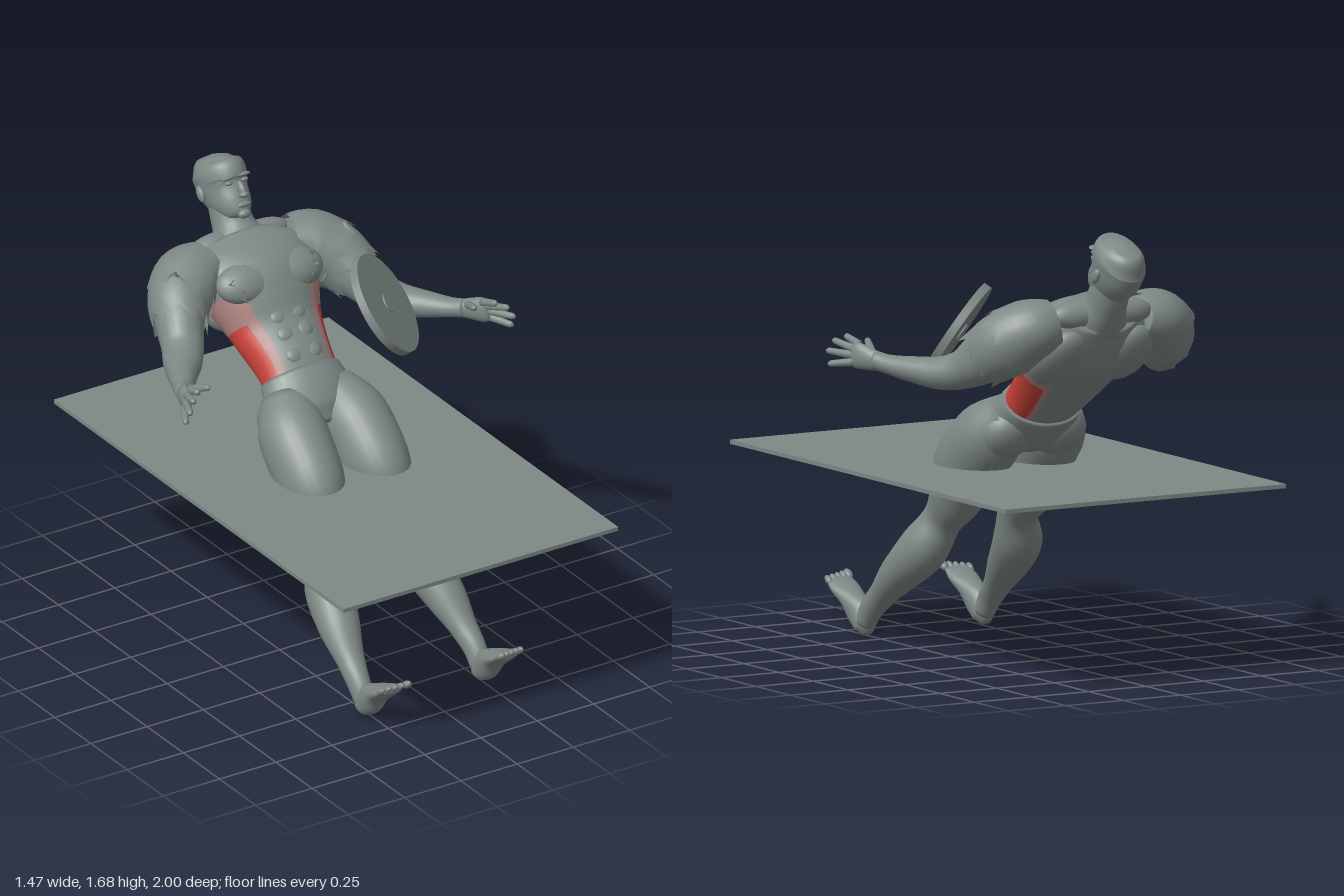
import * as THREE from 'three';

const V = (x, y, z) => new THREE.Vector3(x, y, z);
const grey = new THREE.MeshStandardMaterial({ color: 0x7d8885, side: THREE.DoubleSide });
grey.name = 'grey';
const rose = new THREE.MeshStandardMaterial({ color: 0xa87f7a });
rose.name = 'pale red';
const red = new THREE.MeshStandardMaterial({ color: 0xc8423a });
red.name = 'red';
const palette = [grey, rose, red];

// Smooth tube of elliptical sections [x, y, z, halfWidth, halfDepth].
// Width lies along ref, paint(t, cos, sin) picks a palette index, jag tears the end edge.
function loft(sections, { ref = V(1, 0, 0), sides = 24, per = 5, paint = null, jag = 0 } = {}) {
  const path = new THREE.CatmullRomCurve3(sections.map(s => V(s[0], s[1], s[2])));
  const size = new THREE.CatmullRomCurve3(sections.map(s => V(s[3], s[4], 0)));
  const rings = (sections.length - 1) * per;
  const pos = [], faces = [[], [], []];
  for (let i = 0; i <= rings; i++) {
    const c = path.getPoint(i / rings), r = size.getPoint(i / rings), t = path.getTangent(i / rings);
    const b = V().crossVectors(t, ref).normalize(), a = V().crossVectors(b, t);
    for (let j = 0; j < sides; j++) {
      const q = j / sides * Math.PI * 2;
      const p = c.clone().addScaledVector(a, Math.cos(q) * r.x).addScaledVector(b, Math.sin(q) * r.y);
      if (jag && i === rings) p.addScaledVector(t, jag * ((j * 5 % 7) / 3 - 1));
      pos.push(p.x, p.y, p.z);
    }
  }
  const k = (i, j) => i * sides + j % sides;
  for (let i = 0; i < rings; i++) for (let j = 0; j < sides; j++) {
    const q = (j + 0.5) / sides * Math.PI * 2;
    const m = paint ? paint((i + 0.5) / rings, Math.cos(q), Math.sin(q)) : 0;
    faces[m].push(k(i, j), k(i, j + 1), k(i + 1, j), k(i, j + 1), k(i + 1, j + 1), k(i + 1, j));
  }
  if (!jag) {
    const n = pos.length / 3, e = sections[sections.length - 1];
    pos.push(...sections[0].slice(0, 3), ...e.slice(0, 3));
    for (let j = 0; j < sides; j++)
      faces[0].push(n, k(0, j + 1), k(0, j), n + 1, k(rings, j), k(rings, j + 1));
  }
  const g = new THREE.BufferGeometry();
  g.setAttribute('position', new THREE.Float32BufferAttribute(pos, 3));
  g.setIndex(faces.flat());
  let start = 0;
  faces.forEach((f, m) => { if (f.length) g.addGroup(start, f.length, m); start += f.length; });
  g.computeVertexNormals();
  return g;
}

function add(parent, name, geometry, material = grey) {
  const mesh = new THREE.Mesh(geometry, material);
  mesh.name = name;
  parent.add(mesh);
  return mesh;
}

// Ellipsoid muscle or feature, tilted about x
function blob(parent, name, p, r, tilt = 0) {
  const m = add(parent, name, new THREE.SphereGeometry(1, 20, 14));
  m.position.set(...p);
  m.scale.set(...r);
  m.rotation.x = tilt;
  return m;
}

export function createModel() {
  const model = new THREE.Group();
  const lean = -0.82, Y = V(0, 1, 0);
  let seed = 7;
  const rnd = () => (seed = (seed * 16807) % 2147483647) / 2147483647;

  // Board through the thighs
  add(model, 'board', new THREE.BoxGeometry(1.22, 0.016, 2)).position.set(0, 0.726, 0);

  // Tilted disc with a raised hub
  const disc = new THREE.Group();
  disc.name = 'disc';
  add(disc, 'discPlate', new THREE.CylinderGeometry(0.203, 0.203, 0.032, 64));
  add(disc, 'discHub', new THREE.CylinderGeometry(0.038, 0.038, 0.044, 32));
  disc.position.set(0.29, 1.27, -0.115);
  disc.quaternion.setFromUnitVectors(Y, V(0.62, 0.55, 0.55).normalize());
  model.add(disc);

  // Torso with red flanks
  add(model, 'torso', loft([
    [0, 0.985, -0.235, 0.155, 0.1], [0, 1.04, -0.3, 0.16, 0.117], [0, 1.13, -0.41, 0.19, 0.125],
    [0, 1.215, -0.49, 0.23, 0.15], [0, 1.285, -0.55, 0.26, 0.155],
    [0, 1.345, -0.62, 0.25, 0.125], [0, 1.39, -0.67, 0.15, 0.095]
  ], {
    sides: 48, per: 6,
    paint: (t, c, s) => {
      c = Math.abs(c);
      if (t > 0.56 || c < 0.56) return 0;
      return t < 0.37 && c > 0.74 && s > -0.6 ? 2 : 1;
    }
  }), palette);
  add(model, 'pelvis', loft([
    [0, 0.84, -0.1, 0.09, 0.07], [0, 0.89, -0.15, 0.16, 0.11],
    [0, 0.95, -0.2, 0.178, 0.115], [0, 1.0, -0.252, 0.166, 0.112]
  ], { sides: 32 }));
  add(model, 'neck', loft([
    [0, 1.36, -0.65, 0.13, 0.1], [0, 1.43, -0.71, 0.08, 0.082], [0, 1.53, -0.765, 0.07, 0.078]
  ]));

  // Head, tipped back
  const head = new THREE.Group();
  head.name = 'head';
  head.position.set(0, 1.573, -0.78);
  head.rotation.x = -0.447;
  model.add(head);
  add(head, 'skull', loft([
    [0, -0.135, 0.075, 0.02, 0.025], [0, -0.122, 0.07, 0.046, 0.048], [0, -0.09, 0.05, 0.067, 0.073],
    [0, -0.04, 0.01, 0.082, 0.112], [0, 0, -0.008, 0.09, 0.128], [0, 0.04, -0.012, 0.094, 0.13],
    [0, 0.08, -0.02, 0.078, 0.106], [0, 0.102, -0.02, 0.05, 0.07], [0, 0.113, -0.02, 0.003, 0.003]
  ], { sides: 32 }));
  blob(head, 'nose', [0, -0.028, 0.128], [0.014, 0.034, 0.02], -0.3);
  blob(head, 'noseTip', [0, -0.05, 0.135], [0.019, 0.013, 0.022]);
  blob(head, 'lips', [0, -0.087, 0.12], [0.028, 0.011, 0.012]);
  blob(head, 'chin', [0, -0.122, 0.105], [0.026, 0.018, 0.02]);

  for (const s of [1, -1]) {
    const side = s > 0 ? 'left' : 'right';
    const sweep = (name, list, opts) =>
      add(model, side + name, loft(list.map(([x, ...rest]) => [x * s, ...rest]), opts));
    const bump = (name, [x, y, z], r, tilt = lean) => blob(model, side + name, [x * s, y, z], r, tilt);

    // Face details
    blob(head, side + 'Eye', [0.035 * s, 0.002, 0.105], [0.016, 0.008, 0.012]);
    blob(head, side + 'Brow', [0.036 * s, 0.022, 0.106], [0.028, 0.008, 0.016]);
    blob(head, side + 'Ear', [0.093 * s, -0.02, -0.02], [0.013, 0.033, 0.02], -0.2);

    // Torso muscles
    bump('Pectoral', [0.105, 1.325, -0.46], [0.125, 0.085, 0.062]);
    bump('Trapezius', [0.1, 1.385, -0.67], [0.12, 0.05, 0.055]);
    bump('BackMuscle', [0.14, 1.22, -0.6], [0.11, 0.15, 0.075]);
    bump('Glute', [0.115, 0.87, -0.165], [0.11, 0.12, 0.09]);
    for (const [y, z] of [[1.215, -0.34], [1.165, -0.285], [1.105, -0.225]])
      bump('Abdominal', [0.04, y, z], [0.037, 0.034, 0.018]);

    // Ragged shreds on the chest
    for (let i = 0; i < 14; i++) {
      const m = add(model, side + 'ChestShred', new THREE.ConeGeometry(0.009, 0.045, 3));
      const d = rnd() * 0.08;
      m.position.set(s * (0.08 + rnd() * 0.12), 1.29 + d, -0.385 - d * 0.75);
      m.rotation.set(rnd() * 3, rnd() * 3, rnd() * 3);
    }

    // Leg
    sweep('Leg', [
      [0.1, 0.95, -0.2, 0.09, 0.09], [0.135, 0.85, -0.08, 0.132, 0.138], [0.145, 0.725, 0.045, 0.128, 0.145],
      [0.155, 0.6, 0.125, 0.094, 0.115], [0.165, 0.5, 0.205, 0.074, 0.08], [0.205, 0.39, 0.27, 0.092, 0.095],
      [0.235, 0.28, 0.39, 0.08, 0.075], [0.25, 0.19, 0.49, 0.054, 0.052],
      [0.258, 0.125, 0.56, 0.043, 0.048], [0.258, 0.07, 0.6, 0.04, 0.04]
    ], { sides: 28 });
    bump('Kneecap', [0.165, 0.545, 0.235], [0.045, 0.05, 0.03]);

    // Foot and toes
    sweep('Foot', [
      [0.258, 0.025, 0.592, 0.02, 0.018], [0.258, 0.055, 0.605, 0.042, 0.045], [0.258, 0.1, 0.645, 0.046, 0.056],
      [0.258, 0.145, 0.695, 0.053, 0.038], [0.258, 0.178, 0.75, 0.062, 0.026], [0.258, 0.207, 0.795, 0.056, 0.014]
    ]);
    for (let i = 0; i < 5; i++)
      bump('Toe', [0.208 + i * 0.025, 0.219 - i * 0.003, 0.812 - i * 0.006],
        i ? [0.012, 0.013, 0.024] : [0.016, 0.015, 0.026], -0.6);

    // Arm
    const upper = [
      [0.18, 1.35, -0.62, 0.08, 0.09], [0.27, 1.33, -0.6, 0.1, 0.11],
      [0.34, 1.28, -0.55, 0.112, 0.108], [0.39, 1.22, -0.47, 0.1, 0.092]
    ];
    sweep('Arm', [...upper,
      [0.43, 1.17, -0.39, 0.075, 0.08], [0.475, 1.15, -0.32, 0.064, 0.074], [0.54, 1.155, -0.22, 0.05, 0.055],
      [0.6, 1.168, -0.12, 0.036, 0.04], [0.625, 1.178, -0.075, 0.036, 0.034]
    ], { ref: Y });

    // Torn layers over the upper arm
    const swell = (list, k) => list.map(([x, y, z, w, d]) => [x, y, z, w * k, d * k]);
    sweep('TornSleeve', swell(upper, 1.13), { ref: Y, sides: 35, jag: 0.03 });
    sweep('TornShoulder', swell(upper.slice(0, 3), 1.2), { ref: Y, sides: 28, jag: 0.035 });

    // Hand with spread fingers
    sweep('Palm', [
      [0.605, 1.17, -0.11, 0.03, 0.03], [0.635, 1.18, -0.06, 0.042, 0.028],
      [0.66, 1.19, -0.01, 0.05, 0.024], [0.672, 1.195, 0.015, 0.04, 0.014]
    ], { ref: Y });
    const fingers = [
      [[0.65, 1.23, 0], [0.662, 1.255, 0.08]], [[0.665, 1.212, 0.005], [0.7, 1.238, 0.108]],
      [[0.672, 1.19, 0.005], [0.722, 1.198, 0.118]], [[0.672, 1.165, 0], [0.728, 1.15, 0.095]],
      [[0.625, 1.2, -0.06], [0.588, 1.24, 0.045]]
    ];
    fingers.forEach(([a, b], i) => {
      const at = (f, r) => [...a.map((v, n) => v + (b[n] - v) * f), r, r];
      sweep(i < 4 ? 'Finger' : 'Thumb', [at(0, 0.016), at(0.5, 0.014), at(0.9, 0.012), at(1, 0.003)],
        { ref: Y, sides: 10, per: 3 });
    });
  }
  return model;
}
